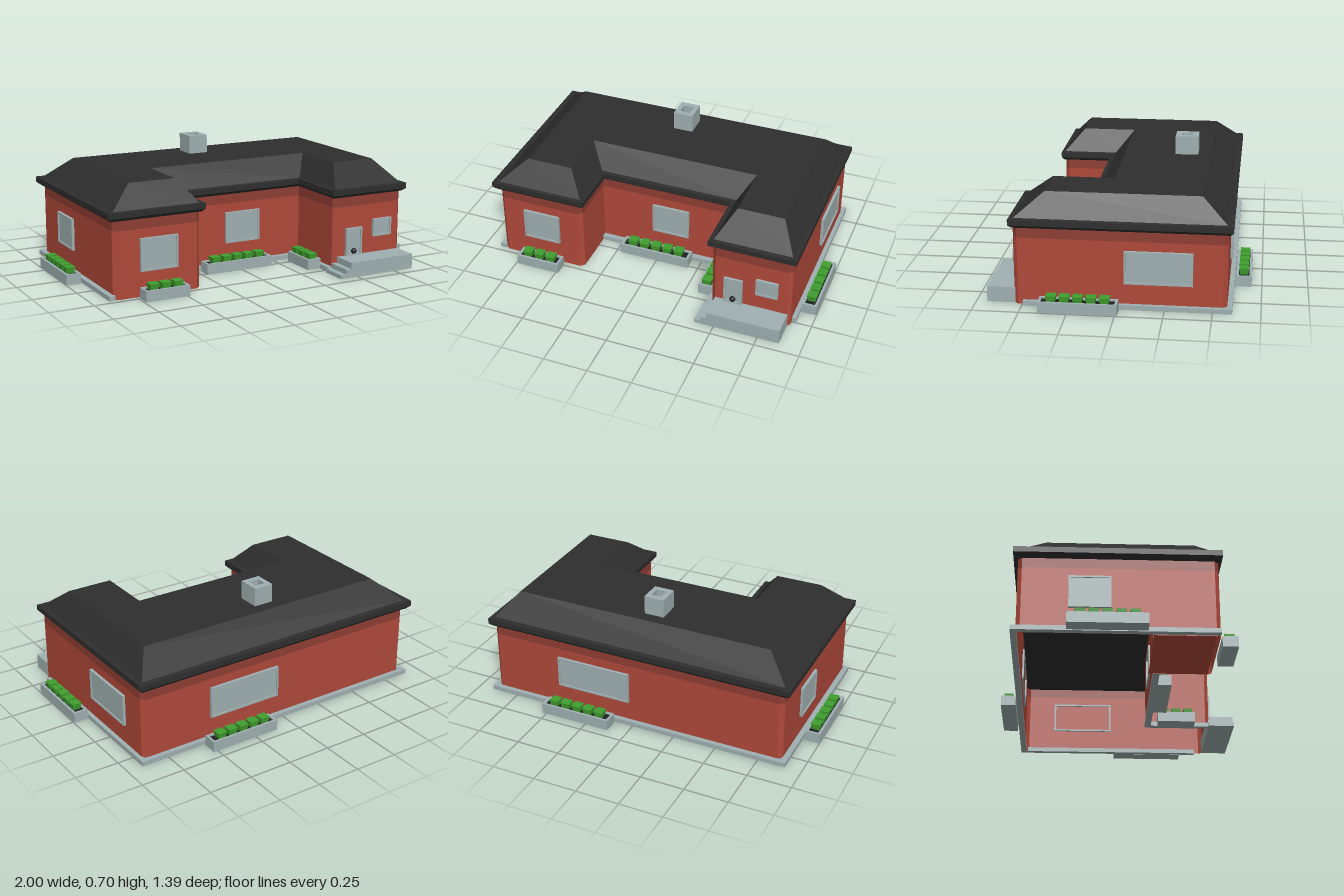
import * as THREE from 'three';

const material = (name, color, side = THREE.FrontSide) => {
  const m = new THREE.MeshStandardMaterial({ color, side });
  m.name = name;
  return m;
};

export function createModel() {
  const brick = material('brick red', 0xb0493a, THREE.DoubleSide);
  const brickDark = material('dark brick red', 0x8f3e33, THREE.DoubleSide);
  const slate = material('roof black', 0x2e2e2e, THREE.DoubleSide);
  const stone = material('stone grey', 0xa0b0b2);
  const leaf = material('leaf green', 0x40a02e);
  const soil = material('soil black', 0x1e2020);

  const house = new THREE.Group();
  house.name = 'house';

  const add = (parent, name, geometry, mat) => {
    const mesh = new THREE.Mesh(geometry, mat);
    mesh.name = name;
    parent.add(mesh);
    return mesh;
  };
  // box given by its minimum and maximum on each axis
  const box = (parent, name, mat, x0, x1, y0, y1, z0, z1) => {
    const g = new THREE.BoxGeometry(x1 - x0, y1 - y0, z1 - z0);
    g.translate((x0 + x1) / 2, (y0 + y1) / 2, (z0 + z1) / 2);
    return add(parent, name, g, mat);
  };

  // U-shaped floor plan, eight corners
  const plan = (x0, x1, z0, zRight, xRight, zCourt, xLeft, zLeft) => [
    [x0, z0], [x1, z0], [x1, zRight], [xRight, zRight],
    [xRight, zCourt], [xLeft, zCourt], [xLeft, zLeft], [x0, zLeft],
  ];
  // cut the outward corners of a plan
  const chamfer = (pts, c) => pts.flatMap((p, i) => {
    const a = pts[(i + pts.length - 1) % pts.length], b = pts[(i + 1) % pts.length];
    const turn = (p[0] - a[0]) * (b[1] - p[1]) - (p[1] - a[1]) * (b[0] - p[0]);
    if (turn < 0) return [p];
    return [a, b].map((q) => {
      const d = Math.hypot(q[0] - p[0], q[1] - p[1]);
      return [p[0] + (q[0] - p[0]) * c / d, p[1] + (q[1] - p[1]) * c / d];
    });
  });
  // join plans at rising heights, optionally closed at both ends
  const loft = (levels, capped) => {
    const pos = [];
    const put = (p, y) => pos.push(p[0], y, p[1]);
    for (let k = 0; k + 1 < levels.length; k++) {
      const [y0, lo] = levels[k], [y1, hi] = levels[k + 1];
      lo.forEach((a, i) => {
        const j = (i + 1) % lo.length;
        put(a, y0); put(hi[i], y1); put(hi[j], y1);
        put(a, y0); put(hi[j], y1); put(lo[j], y0);
      });
    }
    if (capped) {
      const cap = ([y, pts], up) => {
        const contour = pts.map((p) => new THREE.Vector2(p[0], p[1]));
        for (const [a, b, c] of THREE.ShapeUtils.triangulateShape(contour, [])) {
          for (const i of up ? [a, c, b] : [a, b, c]) put(pts[i], y);
        }
      };
      cap(levels[0], false);
      cap(levels[levels.length - 1], true);
    }
    const g = new THREE.BufferGeometry();
    g.setAttribute('position', new THREE.Float32BufferAttribute(pos, 3));
    g.computeVertexNormals();
    return g;
  };

  // walls, with a darker course under the eaves
  const wallPlan = chamfer(plan(-0.875, 0.886, -0.575, 0.545, 0.435, 0.16, -0.37, 0.47), 0.022);
  add(house, 'walls', loft([[0, wallPlan], [0.37, wallPlan]], false), brick);
  add(house, 'upperWallBand', loft([[0.37, wallPlan], [0.43, wallPlan]], false), brickDark);
  box(house, 'leftWingFloor', brick, -0.86, -0.375, 0.001, 0.01, 0.13, 0.45);

  // hipped roof with a flat top and a thick eave
  add(house, 'roof', loft([
    [0.425, plan(-0.89, 0.89, -0.585, 0.545, 0.43, 0.165, -0.365, 0.475)],
    [0.442, plan(-0.912, 0.908, -0.6, 0.565, 0.415, 0.185, -0.348, 0.49)],
    [0.473, plan(-0.912, 0.908, -0.6, 0.565, 0.415, 0.185, -0.348, 0.49)],
    [0.475, plan(-0.877, 0.88, -0.57, 0.54, 0.44, 0.16, -0.374, 0.47)],
    [0.596, plan(-0.738, 0.785, -0.435, 0.388, 0.522, 0.055, -0.47, 0.36)],
  ], true), slate);

  // chimney with an open flue
  const chimney = new THREE.Group();
  chimney.name = 'chimney';
  house.add(chimney);
  box(chimney, 'chimneyLeft', stone, 0.005, 0.032, 0.59, 0.702, -0.365, -0.235);
  box(chimney, 'chimneyRight', stone, -0.083, -0.055, 0.59, 0.702, -0.365, -0.235);
  box(chimney, 'chimneyBack', stone, -0.055, 0.005, 0.59, 0.702, -0.365, -0.332);
  box(chimney, 'chimneyFront', stone, -0.055, 0.005, 0.59, 0.702, -0.268, -0.235);
  box(chimney, 'flue', soil, -0.055, 0.005, 0.59, 0.66, -0.332, -0.268);

  // plinth around the foot of the walls
  [
    [-0.905, 0.91, -0.602, -0.57], [0.88, 0.91, -0.57, 0.495], [-0.905, -0.87, -0.57, 0.47],
    [-0.37, 0.435, 0.155, 0.19], [0.405, 0.44, 0.19, 0.54],
  ].forEach(([x0, x1, z0, z1]) => box(house, 'plinth', stone, x0, x1, 0, 0.026, z0, z1));

  // framed panel set on a wall: centre, size and facing angle
  const panel = (name, x, y, z, w, h, angle) => {
    const g = new THREE.Group();
    g.name = name;
    g.position.set(x, y, z);
    g.rotation.y = angle;
    house.add(g);
    const t = 0.01, a = w / 2, b = h / 2;
    box(g, 'pane', stone, -a + t, a - t, -b + t, b - t, 0, 0.009);
    for (const s of [-1, 1]) {
      const u = s * (a - t / 2), v = s * (b - t / 2);
      box(g, 'frameSide', stone, u - t / 2, u + t / 2, -b, b, -0.01, 0.016);
      box(g, 'frameRail', stone, -a + t, a - t, v - t / 2, v + t / 2, -0.01, 0.016);
    }
    return g;
  };
  const quarter = Math.PI / 2;
  panel('leftWingWindow', -0.618, 0.23, 0.47, 0.218, 0.18, 0);
  panel('courtyardWindow', 0.053, 0.23, 0.16, 0.22, 0.18, 0);
  panel('smallFrontWindow', 0.752, 0.23, 0.545, 0.125, 0.102, 0);
  panel('rightWallWindow', 0.886, 0.23, -0.217, 0.36, 0.18, quarter);
  panel('backWindow', 0.25, 0.23, -0.575, 0.44, 0.18, Math.PI);
  panel('leftWallWindow', -0.875, 0.23, -0.2, 0.22, 0.18, -quarter);
  const door = panel('frontDoor', 0.562, 0.165, 0.545, 0.106, 0.16, 0);
  add(door, 'doorKnob', new THREE.SphereGeometry(0.017, 12, 8), soil).position.set(0, -0.055, 0.012);

  // porch and its side steps
  box(house, 'porch', stone, 0.458, 0.872, 0, 0.085, 0.54, 0.692);
  box(house, 'upperStep', stone, 0.425, 0.458, 0, 0.05, 0.54, 0.692);
  box(house, 'lowerStep', stone, 0.39, 0.425, 0, 0.022, 0.54, 0.692);

  // planter trough with a row of flared shrubs
  const planter = (name, x, z, length, count, angle) => {
    const g = new THREE.Group();
    g.name = name;
    g.position.set(x, 0, z);
    g.rotation.y = angle;
    house.add(g);
    const a = length / 2, b = 0.0425, t = 0.014;
    box(g, 'troughBase', stone, -a, a, 0, 0.04, -b, b);
    for (const s of [-1, 1]) {
      const u = s * (a - t / 2), v = s * (b - t / 2);
      box(g, 'troughEnd', stone, u - t / 2, u + t / 2, 0.04, 0.06, -b, b);
      box(g, 'troughSide', stone, -a + t, a - t, 0.04, 0.06, v - t / 2, v + t / 2);
    }
    box(g, 'soil', soil, -a + t, a - t, 0.04, 0.052, -b + t, b - t);
    for (let i = 0; i < count; i++) {
      const shrub = new THREE.CylinderGeometry(0.038, 0.03, 0.038, 4, 1).toNonIndexed();
      shrub.rotateY(Math.PI / 4);
      shrub.computeVertexNormals();
      add(g, 'shrub', shrub, leaf).position.set((i - (count - 1) / 2) * 0.07, 0.069, 0);
    }
  };
  planter('leftWingPlanter', -0.613, 0.535, 0.255, 3, 0);
  planter('courtyardPlanter', -0.015, 0.225, 0.415, 5, 0);
  planter('porchPlanter', 0.367, 0.34, 0.22, 3, quarter);
  planter('rightPlanter', 0.955, 0.195, 0.415, 5, quarter);
  planter('leftPlanter', -0.957, -0.11, 0.415, 5, quarter);
  planter('backPlanter', 0.317, -0.652, 0.415, 5, 0);

  return house;
}
